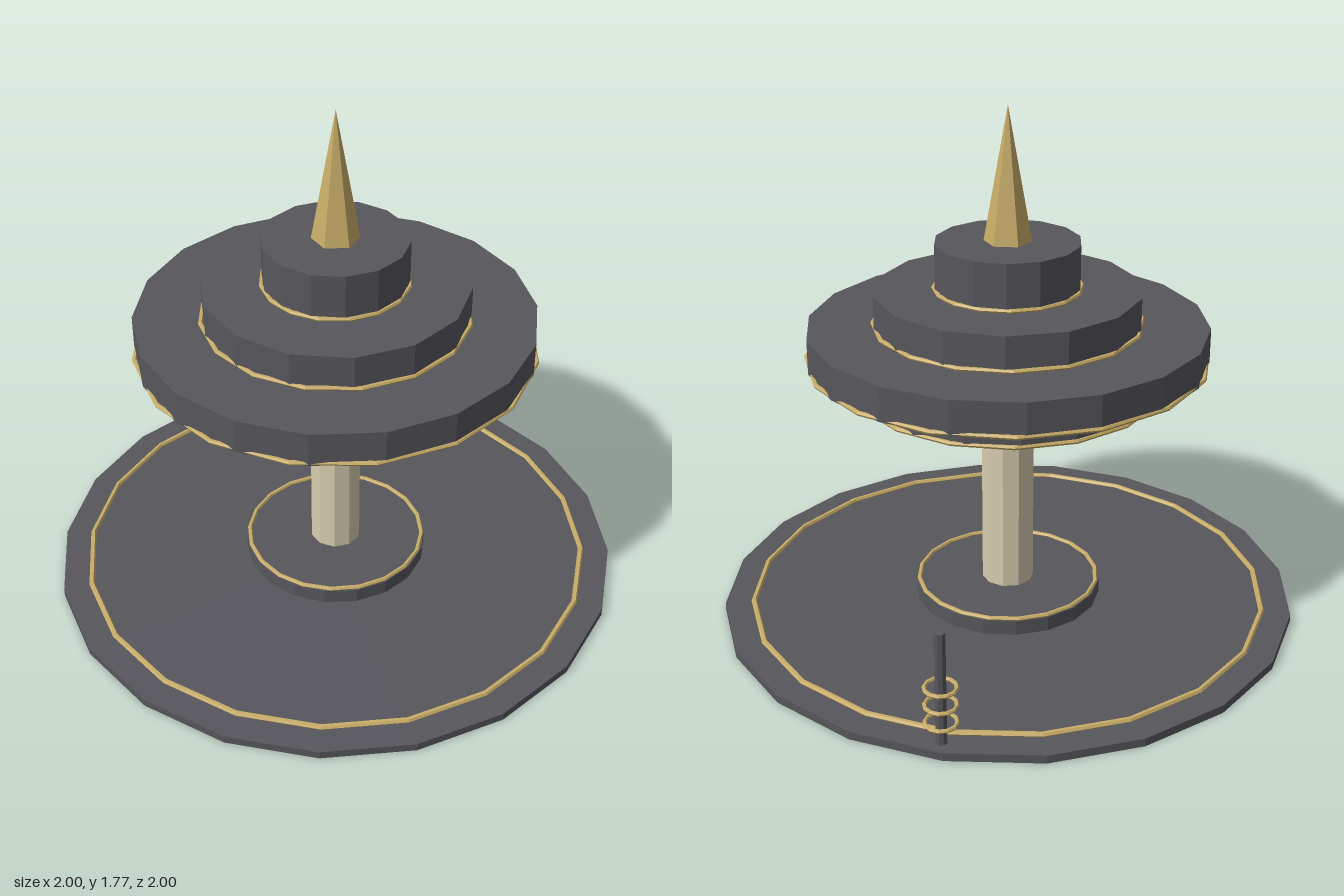
import * as THREE from 'three';

export function createModel() {
  const model = new THREE.Group();
  model.name = 'tower';

  const mat = (name, color) => Object.assign(new THREE.MeshStandardMaterial({ color }), { name });
  const slate = mat('slate', 0x57565c);
  const cream = mat('cream', 0xd8cdb0);
  const gold = mat('gold', 0xc9ad68);

  // Adds a mesh with faceted normals
  const add = (name, geometry, material, x, y, z) => {
    const faceted = geometry.toNonIndexed();
    faceted.computeVertexNormals();
    const mesh = new THREE.Mesh(faceted, material);
    mesh.name = name;
    mesh.position.set(x, y, z);
    model.add(mesh);
  };
  const drum = (name, material, r, y0, y1, sides, x = 0, z = 0) =>
    add(name, new THREE.CylinderGeometry(r, r, y1 - y0, sides), material, x, (y0 + y1) / 2, z);
  const ring = (name, r, tube, y, sides, x = 0, z = 0) =>
    add(name, new THREE.TorusGeometry(r, tube, 6, sides).rotateX(Math.PI / 2), gold, x, y, z);

  // Ground disc and pedestal
  drum('base', slate, 1, 0, 0.028, 20);
  ring('baseRing', 0.9, 0.01, 0.032, 20);
  drum('pedestal', slate, 0.325, 0.028, 0.08, 18);
  ring('pedestalRing', 0.315, 0.008, 0.084, 20);

  // Column
  drum('column', cream, 0.09, 0.03, 0.825, 10);

  // Stacked tiers, each with a trim ring: radius, bottom, top, sides
  [
    ['lowerTier', 0.515, 0.82, 0.922, 18],
    ['wideTier', 0.675, 0.922, 1.04, 18],
    ['middleTier', 0.45, 1.04, 1.162, 14],
    ['upperTier', 0.245, 1.162, 1.325, 14],
  ].forEach(([name, r, y0, y1, sides]) => {
    drum(name, slate, r, y0, y1, sides);
    ring(name + 'Ring', r + 0.001, 0.008, y0 + (name === 'lowerTier' ? 0 : 0.006), 16);
  });

  // Spire
  add('spire', new THREE.ConeGeometry(0.08, 0.45, 6), gold, 0, 1.55, 0);

  // Antenna at the rim with three hoops
  const ax = 0.57, az = -0.755;
  drum('antenna', slate, 0.019, 0.028, 0.415, 8, ax, az);
  for (const y of [0.1, 0.162, 0.223]) ring('antennaHoop', 0.05, 0.007, y, 12, ax, az);

  return model;
}
